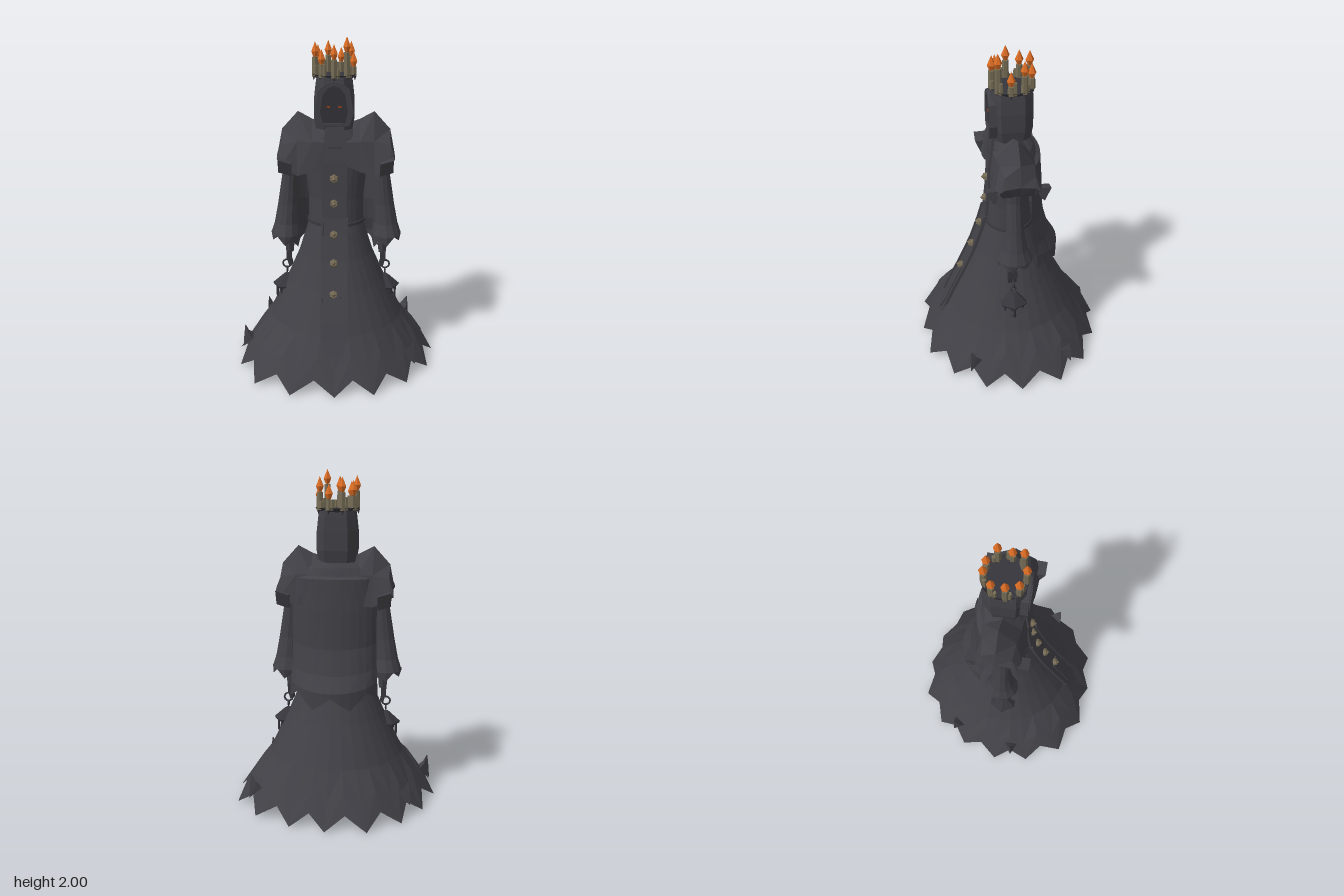
import * as THREE from 'three';

const mat = (name, color) => {
  const m = new THREE.MeshStandardMaterial({ color, flatShading: true, side: THREE.DoubleSide });
  m.name = name;
  return m;
};

// Skin between rows of [x, y, z] points; wrap closes each row into a loop
function loft(rows, wrap = true, caps = false) {
  const n = rows[0].length, idx = [];
  for (let r = 0; r < rows.length - 1; r++)
    for (let i = 0; i < (wrap ? n : n - 1); i++) {
      const a = r * n + i, b = r * n + (i + 1) % n;
      if (i % 2) idx.push(a, a + n, b + n, a, b + n, b);
      else idx.push(a, a + n, b, b, a + n, b + n);
    }
  if (caps) for (const base of [0, (rows.length - 1) * n])
    for (let i = 1; i < n - 1; i++) idx.push(base, base + i, base + i + 1);
  const g = new THREE.BufferGeometry();
  g.setAttribute('position', new THREE.Float32BufferAttribute(rows.flat(2), 3));
  g.setIndex(idx);
  g.computeVertexNormals();
  return g;
}

const ring = (n, y, rx, rz, cx = 0, cz = 0) => Array.from({ length: n }, (_, i) => {
  const a = i / n * Math.PI * 2;
  return [cx + rx * Math.sin(a), y, cz + rz * Math.cos(a)];
});

export function createModel() {
  const root = new THREE.Group();
  const cloth = mat('charcoal cloth', 0x414046);
  const iron = mat('dark iron', 0x36353b);
  const shade = mat('hood shadow', 0x333238);
  const wax = mat('old wax', 0x756c55);
  const brass = mat('dull brass', 0x756a55);
  const fire = mat('flame orange', 0xdb6c24);
  const ember = mat('ember eyes', 0x98401c);
  const add = (name, geo, m, parent = root, x = 0, y = 0, z = 0) => {
    const mesh = new THREE.Mesh(geo, m);
    mesh.name = name;
    mesh.position.set(x, y, z);
    parent.add(mesh);
    return mesh;
  };

  // Robe: torso and flared skirt
  const N = 32;
  const rows = [[1.49, .08, .08], [1.42, .15, .1], [1.25, .185, .115], [1.05, .165, .12], [.9, .165, .14],
    [.85, .178, .16], [.7, .225, .212], [.53, .298, .285], [.4, .36, .35], [.3, .41, .4]].map(([y, rx, rz]) => ring(N, y, rx, rz));

  // Creased hem with sixteen uneven ragged points
  const tips = [[0, .58], [.23, .55], [.43, .41], [.57, .22], [.617, 0], [.58, -.25], [.43, -.43], [.21, -.54],
    [0, -.58], [-.24, -.56], [-.43, -.42], [-.55, -.23], [-.617, 0], [-.59, .22], [-.48, .44], [-.26, .56]];
  const hem = (tipScale, tipY, dipScale, dipY) => tips.flatMap(([x, z], i) => {
    const [nx, nz] = tips[(i + 1) % 16], k = dipScale / 2;
    return [[x * tipScale, tipY, z * tipScale], [(x + nx) * k, dipY, (z + nz) * k]];
  });
  rows.push(hem(.855, .13, .815, .195), hem(1, .005, .925, .085));
  add('robe', loft(rows), cloth);

  // Slim folds of the hem standing clear of the skirt
  for (const i of [2, 5, 10, 12]) {
    const [x, z] = tips[i], [nx, nz] = tips[(i + 1) % 16];
    const at = (t, k, y) => [(x + (nx - x) * t) * k, y, (z + (nz - z) * t) * k];
    add('hemFold', loft([[at(.3, .85, .14), at(.5, .97, .07), at(.75, .87, .14)],
      [at(.4, .91, .17), at(.5, .96, .15), at(.65, .91, .17)], [at(.5, .94, .22), at(.5, .945, .22), at(.52, .94, .22)]]), cloth);
  }

  // Belt
  add('belt', loft([ring(N, .915, .167, .142), ring(N, .91, .174, .149), ring(N, .895, .176, .152), ring(N, .89, .167, .143)]), iron);

  // Front panel and trims that follow the robe; the end narrows by the factor tip
  const path = [[1.3, .122], [1.1, .135], [.95, .15], [.85, .178], [.7, .228], [.53, .302], [.37, .378], [.28, .416], [.2, .455]];
  const strip = (x0, x1, from, to, lift, t, tip = 1) => loft(path.slice(from, to).map(([y, z], i) => {
    const c = (x0 + x1) / 2, h = (x1 - x0) / 2 * (from + i === to - 1 ? tip : 1);
    return [[c - h, y, z + lift], [c + h, y, z + lift], [c + h, y, z + lift - t], [c - h, y, z + lift - t]];
  }), true, true);
  add('frontPanel', strip(-.08, .065, 0, 9, 0, .014, .75), cloth);
  for (const x of [-.085, .06]) add('panelTrim', strip(x, x + .012, 2, 8, .01, .02), cloth);
  add('panelFold', strip(-.045, .03, 5, 9, .008, .012, .5), cloth);
  [[1.19, .138], [1.04, .146], [.86, .184], [.7, .238], [.53, .312]].forEach(([y, z]) => {
    const b = add('button', new THREE.CylinderGeometry(.02, .027, .022, 6), brass, root, -.01, y, z);
    b.rotation.x = Math.PI / 2 - (y < .9 ? .4 : .05);
    add('buttonStud', new THREE.OctahedronGeometry(.015), brass, b, 0, .012, 0);
  });

  // Chest bib leaning back toward the neck
  const bib = new THREE.Shape([[-.075, 0], [.065, 0], [.05, .21], [-.06, .21]].map(p => new THREE.Vector2(...p)));
  const bibMesh = add('chestBib', new THREE.ExtrudeGeometry(bib, { depth: .016, bevelEnabled: false }), cloth, root, 0, 1.28, .113);
  bibMesh.rotation.x = -.14;
  add('bibSeam', new THREE.BoxGeometry(.08, .004, .004), shade, bibMesh, -.005, .09, .016);

  // Back cape with a ragged lower edge
  const C = 13;
  const capeRows = [[1.4, .17, -.145, -.1], [1.38, .21, -.18, -.12], [1.2, .25, -.193, -.1], [.97, .25, -.205, -.1], [.82, .255, -.245, -.12],
    [.73, .26, -.3, -.14], [.65, .265, -.3, -.14]].map(([y, w, zb, zs], r) => Array.from({ length: C }, (_, i) => {
    const t = i / (C - 1) * 2 - 1, zig = r === 6 ? (i % 4 === 2 ? .05 : i % 4 === 0 ? -.03 : .01) : 0;
    return [w * Math.sin(t * 1.2) / Math.sin(1.2), 1.4 - (1.4 - y) * (1 - .06 * t * t) + zig, zs + (zb - zs) * Math.cos(t * Math.PI / 2)];
  }));
  add('cape', loft(capeRows, false), cloth);
  add('backCollar', loft([[1.49, .09, .1], [1.44, .15, .138], [1.38, .19, .16]].map(([y, w, d]) => Array.from({ length: 9 }, (_, i) => {
    const t = i / 4 - 1;
    return [w * t, y, -d + .04 * t * t];
  })), false), cloth);

  for (const s of [1, -1]) {
    const side = new THREE.Group();
    side.name = s > 0 ? 'leftArm' : 'rightArm';
    root.add(side);

    // Peaked shoulder mantle, section by section outward
    const mantle = [
      [.06, [1.265, .118], [1.4, .1], [1.49, -.01], [1.42, -.125], [1.26, -.15]],
      [.14, [1.23, .128], [1.4, .095], [1.515, -.015], [1.4, -.125], [1.23, -.15]],
      [.225, [1.205, .133], [1.4, .08], [1.56, -.02], [1.4, -.115], [1.22, -.155]],
      [.32, [1.265, .135], [1.38, .07], [1.455, -.02], [1.38, -.105], [1.265, -.155]],
      [.345, [1.3, .1], [1.32, .07], [1.33, -.02], [1.32, -.1], [1.3, -.13]],
      [.315, [1.25, .08], [1.25, .05], [1.25, -.02], [1.25, -.07], [1.25, -.1]],
    ].map(([x, ...pts]) => pts.map(([y, z]) => [s * x, y, z]));
    add('shoulderMantle', loft(mantle, false), cloth, side);

    // Turned-up corners of the mantle, front and back
    for (const f of [1, -1])
      add('mantleCorner', loft([.258, .335].map(x => [[1.3, .115], [1.298, .18], [1.215, .145], [1.23, .125]]
        .map(([y, z]) => [s * x, y + (x > .3 ? .012 : -.012), f * z - .012])), true, true), cloth, side);

    // Sleeve widening to a ragged cuff that hangs lowest on the inside
    const sleeve = [[1.3, .27, .05, .06], [1.2, .275, .045, .05], [1, .292, .06, .055], [.88, .303, .072, .075], [.81, .308, .09, .104]]
      .map(([y, cx, rx, rz]) => ring(12, y, rx, rz, s * cx, .005));
    sleeve.push(ring(12, .79, .088, .1, s * .308, .005).map(([x, y, z], i) => [x, (i % 2 ? .8 : .755) + (s * x - .31) * .3, z]));
    add('sleeve', loft(sleeve), cloth, side);

    // Forearm and hand with curled fingers
    add('forearm', new THREE.CylinderGeometry(.042, .026, .16, 6), cloth, side, s * .285, .77, .015);
    add('palm', new THREE.BoxGeometry(.03, .06, .055), iron, side, s * .29, .67, .018);
    for (let i = 0; i < 4; i++)
      add('finger', new THREE.BoxGeometry(.024, .045, .01), iron, side, s * .285, .625, -.002 + i * .0135).rotation.z = -s * .25;

    // Hanging lantern
    const lamp = new THREE.Group();
    lamp.name = 'lantern';
    lamp.position.set(s * .305, 0, .015);
    lamp.rotation.y = Math.PI / 6;
    side.add(lamp);
    add('handleRing', new THREE.TorusGeometry(.026, .006, 5, 10), iron, lamp, 0, .605, 0).rotation.y = -Math.PI / 6;
    add('chainLink', new THREE.TorusGeometry(.016, .005, 4, 8), iron, lamp, 0, .563, 0).rotation.y = Math.PI / 3;
    add('lanternRoof', new THREE.CylinderGeometry(.022, .09, .06, 6), iron, lamp, 0, .505, 0);
    add('lanternEave', new THREE.CylinderGeometry(.09, .086, .012, 6), iron, lamp, 0, .47, 0);
    add('lanternCore', new THREE.CylinderGeometry(.054, .05, .085, 6), shade, lamp, 0, .43, 0);
    add('lanternBase', new THREE.CylinderGeometry(.07, .062, .014, 6), iron, lamp, 0, .388, 0);
    for (let i = 0; i < 6; i++) {
      const a = i / 6 * Math.PI * 2;
      add('lanternPost', new THREE.BoxGeometry(.011, .09, .011), iron, lamp, Math.sin(a) * .064, .43, Math.cos(a) * .064);
    }
  }

  // Head: boxy hood, arched rim, shadowed face and eyes
  const head = new THREE.Group();
  head.name = 'head';
  head.position.set(-.01, 0, -.015);
  root.add(head);
  const square = (y, w, d) => [[.55, 1], [1, .6], [1, -.55], [.6, -1], [-.6, -1], [-1, -.55], [-1, .6], [-.55, 1]].map(([x, z]) => [x * w, y, z * d]);
  add('hood', loft([square(1.47, .106, .1), square(1.54, .118, .115), square(1.65, .116, .118), square(1.73, .107, .117), square(1.775, .1, .112)], true, true), cloth, head);
  const arch = (w, y0, y1, y2) => [[-w * .8, y0], [w * .8, y0], [w, y1], [w * .8, y2 - .05], [w * .42, y2 - .012], [0, y2],
    [-w * .42, y2 - .012], [-w * .8, y2 - .05], [-w, y1]].map(p => new THREE.Vector2(...p));
  const rim = new THREE.Shape(arch(.112, 1.5, 1.58, 1.755));
  rim.holes.push(new THREE.Path(arch(.08, 1.515, 1.58, 1.73)));
  add('hoodRim', new THREE.ExtrudeGeometry(rim, { depth: .045, bevelEnabled: false }), cloth, head, 0, 0, .09);
  add('face', new THREE.ExtrudeGeometry(new THREE.Shape(arch(.082, 1.51, 1.58, 1.732)), { depth: .02, bevelEnabled: false }), shade, head, 0, 0, .103);
  for (const s of [1, -1]) add('eye', new THREE.BoxGeometry(.018, .009, .006), ember, head, s * .033, 1.61, .125);

  // Candle crown
  add('crownBand', new THREE.CylinderGeometry(.13, .114, .022, 18, 1, true), iron, head, 0, 1.772, -.005);
  add('crownPlate', new THREE.CylinderGeometry(.118, .118, .008, 18), iron, head, 0, 1.772, -.005);
  const flameTips = [1.96, 2, 1.91, 1.96, 1.92, 1.96, 1.94, 1.965, 1.93];
  const flameProfile = [[0, 0], [.012, .003], [.024, .032], [.012, .06], [0, .088]].map(p => new THREE.Vector2(...p));
  flameTips.forEach((tip, i) => {
    const a = i / 9 * Math.PI * 2, x = Math.sin(a) * .112, z = Math.cos(a) * .112 - .005, top = tip - .088;
    add('candle', new THREE.CylinderGeometry(.018, .02, top - 1.77, 6), wax, head, x, (top + 1.77) / 2, z);
    add('flame', new THREE.LatheGeometry(flameProfile, 6), fire, head, x, top, z);
    const b = a + .2, h = .05 + .012 * (i % 3);
    add('candleStub', new THREE.CylinderGeometry(.011, .013, h, 6), wax, head, Math.sin(b) * .114, 1.77 + h / 2, Math.cos(b) * .114 - .005);
    add('crownDrip', new THREE.ConeGeometry(.01, .03, 4), iron, head, Math.sin(a) * .12, 1.758, Math.cos(a) * .12 - .005).rotation.x = Math.PI;
  });

  return root;
}
